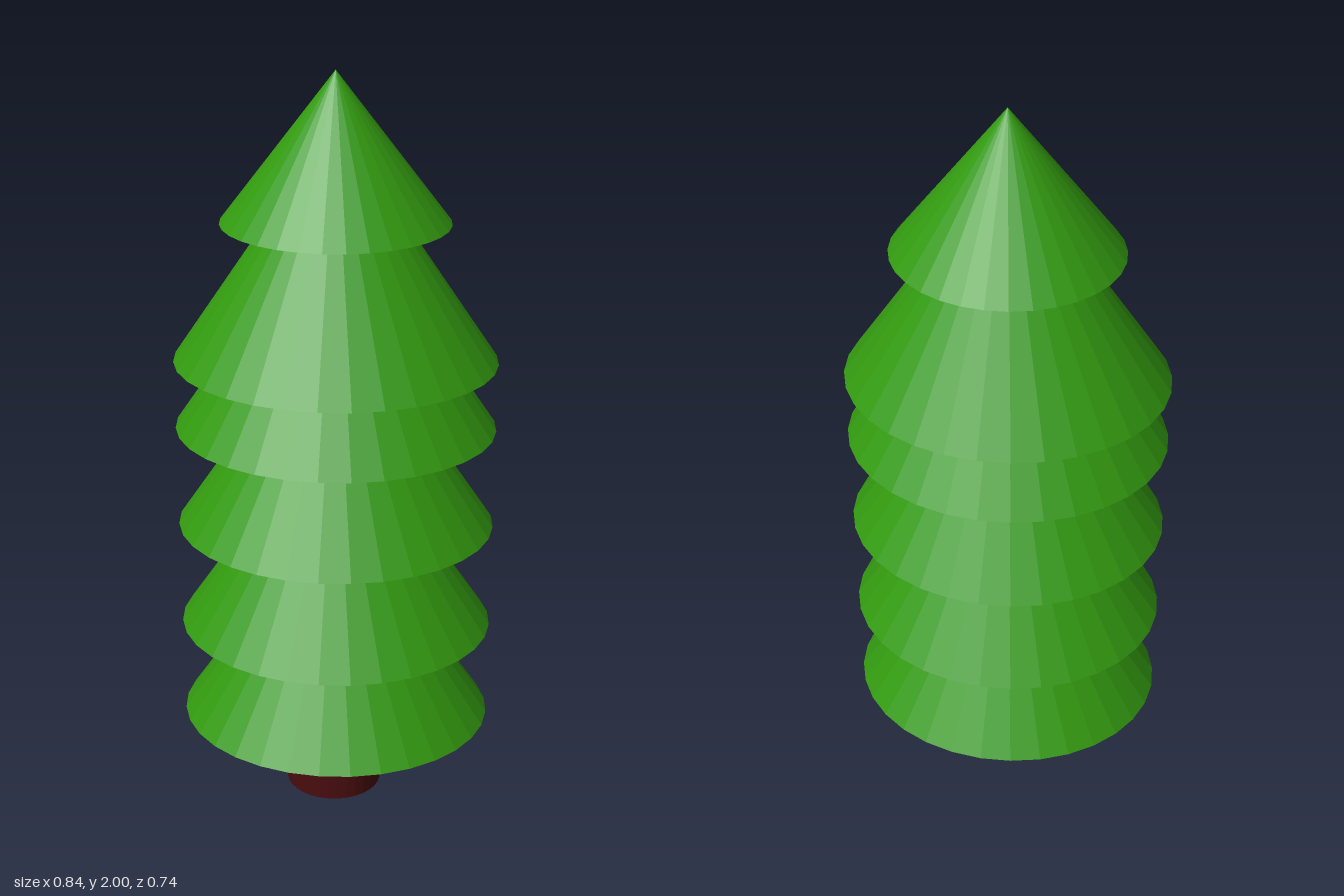
import * as THREE from 'three';

const SIDES = 32;

export function createModel() {
  const tree = new THREE.Group();
  tree.name = 'firTree';

  const needles = new THREE.MeshStandardMaterial({ color: 0x339a10, flatShading: true });
  needles.name = 'needle green';
  const bark = new THREE.MeshStandardMaterial({ color: 0x4a0d0f, flatShading: true });
  bark.name = 'bark brown';

  // Oval cone standing on the given height, with a vertex on the x axis
  function addTier(name, base, height, rx, rz) {
    const geometry = new THREE.ConeGeometry(1, 1, SIDES);
    geometry.scale(rx, height, rz);
    geometry.translate(0, base + height / 2, 0);
    const tier = new THREE.Mesh(geometry, needles);
    tier.name = name;
    tree.add(tier);
  }

  // Five equal overlapping tiers and a smaller tip
  [0.235, 0.51, 0.802, 1.077, 1.26].forEach((base, i) =>
    addTier(`branchTier${i + 1}`, base, 0.62, 0.418, 0.37));
  addTier('treeTip', 1.622, 0.378, 0.291, 0.272);

  // Trunk, reaching slightly into the lowest tier
  const trunkGeometry = new THREE.CylinderGeometry(1, 1, 0.3, SIDES);
  trunkGeometry.scale(0.131, 1, 0.127);
  const trunk = new THREE.Mesh(trunkGeometry, bark);
  trunk.name = 'trunk';
  trunk.position.set(-0.005, 0.15, 0.002);
  tree.add(trunk);

  return tree;
}
